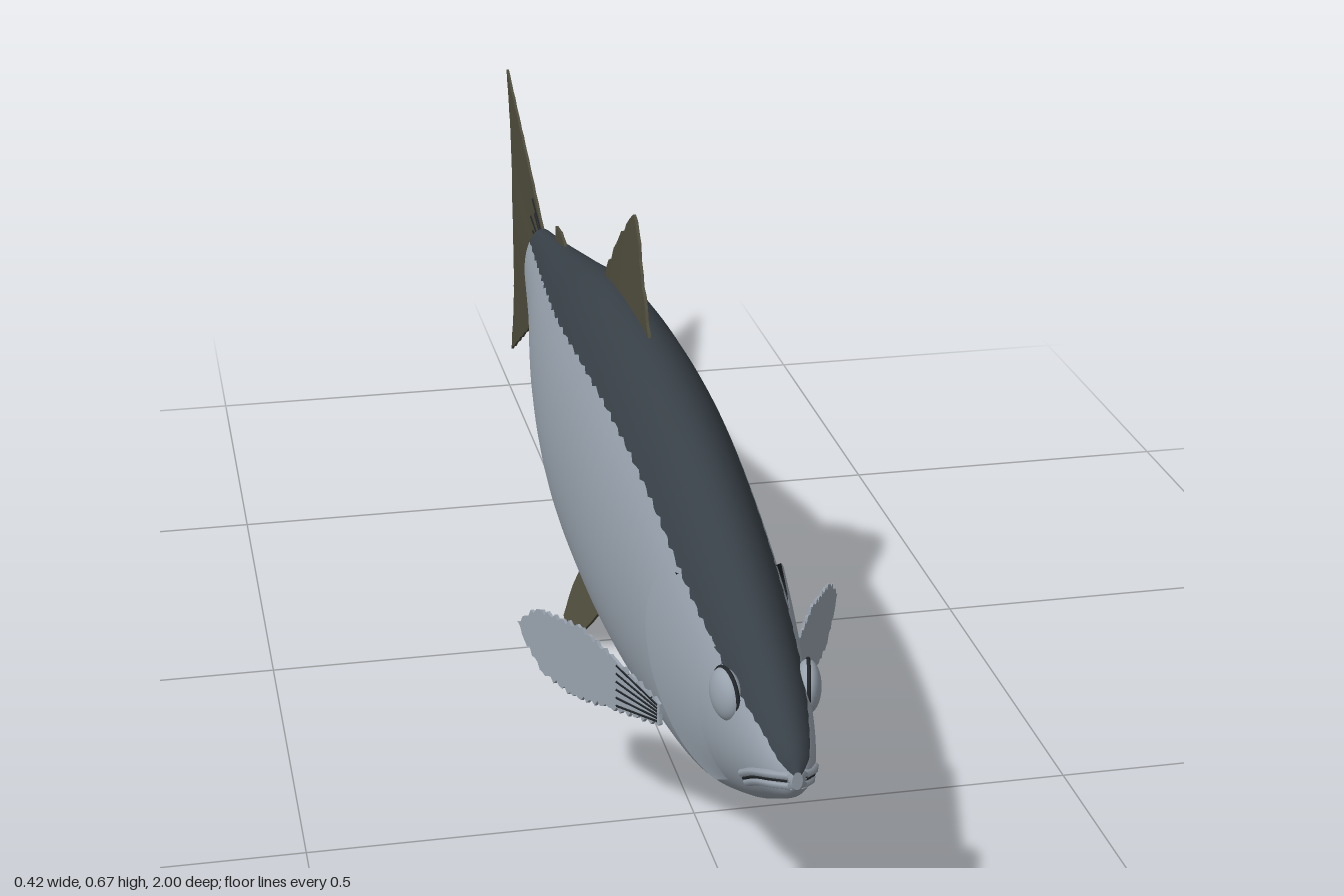
import * as THREE from 'three';

const mat = (name, color) => new THREE.MeshStandardMaterial({ name, color, side: THREE.DoubleSide });

// Body stations: z, top y, bottom y, half width, lower edge of the dark back
const STATIONS = [
  [-0.63, 0.42, 0.283, 0.03, 0.4], [-0.5, 0.445, 0.222, 0.046, 0.412], [-0.3, 0.487, 0.145, 0.076, 0.44],
  [-0.1, 0.53, 0.1, 0.096, 0.465], [0.1, 0.547, 0.09, 0.102, 0.48], [0.3, 0.545, 0.1, 0.101, 0.483],
  [0.5, 0.523, 0.125, 0.09, 0.465], [0.7, 0.475, 0.167, 0.075, 0.425], [0.86, 0.425, 0.235, 0.053, 0.39],
  [0.95, 0.385, 0.285, 0.034, 0.368], [0.985, 0.364, 0.307, 0.02, 0.352], [1, 0.346, 0.324, 0.006, 0.342],
];

// Smooth interpolation of column c in a table sorted by its first column
function interp(table, t, c) {
  const n = table.length - 1;
  let i = 0;
  while (i < n - 1 && t > table[i + 1][0]) i++;
  const slope = k => {
    const a = table[Math.max(k - 1, 0)], b = table[Math.min(k + 1, n)];
    return (b[c] - a[c]) / (b[0] - a[0]);
  };
  const [p, q] = [table[i], table[i + 1]], h = q[0] - p[0];
  const u = Math.min(Math.max((t - p[0]) / h, 0), 1), v = 1 - u;
  return (1 + 2 * u) * v * v * p[c] + u * v * v * h * slope(i)
    + u * u * (3 - 2 * u) * q[c] - u * u * v * h * slope(i + 1);
}

function section(z) {
  const top = interp(STATIONS, z, 1), bottom = interp(STATIONS, z, 2);
  return { mid: (top + bottom) / 2, h: (top - bottom) / 2, w: interp(STATIONS, z, 3), split: interp(STATIONS, z, 4) };
}

// Point on the skin; angle is measured from the top towards +x
function skin(z, angle, offset = 0) {
  const s = section(z);
  return [(s.w + offset) * Math.sin(angle), s.mid + (s.h + offset) * Math.cos(angle), z];
}

function skinAtHeight(z, y, side, offset = 0) {
  const s = section(z);
  const p = skin(z, Math.acos(THREE.MathUtils.clamp((y - s.mid) / s.h, -1, 1)), offset);
  return new THREE.Vector3(side * p[0], p[1], z);
}

// Quad grid from a point function; pick(j) chooses the material group
function grid(nu, nv, fn, pick = () => 0) {
  const pos = [], sets = [[], []];
  for (let i = 0; i <= nu; i++) for (let j = 0; j <= nv; j++) pos.push(...fn(i, j));
  for (let i = 0; i < nu; i++) for (let j = 0; j < nv; j++) {
    const a = i * (nv + 1) + j, b = a + nv + 1;
    sets[pick(j)].push(a, a + 1, b, b, a + 1, b + 1);
  }
  const g = new THREE.BufferGeometry();
  g.setAttribute('position', new THREE.Float32BufferAttribute(pos, 3));
  g.setIndex([...sets[0], ...sets[1]]);
  g.addGroup(0, sets[0].length, 0);
  g.addGroup(sets[0].length, sets[1].length, 1);
  g.computeVertexNormals();
  return g;
}

// Thin fin with a ragged edge; place maps outline (p, q) and depth d to a position
function finGeometry(outline, place, ragged = 0.004) {
  const pts = [];
  outline.forEach(([p, q], i) => {
    const [p2, q2] = outline[(i + 1) % outline.length];
    const len = Math.hypot(p2 - p, q2 - q), n = Math.max(2, Math.round(len / 0.02));
    for (let k = 0; k < n; k++) {
      const t = k / n, e = k ? ragged * Math.sin(k * 2.4 + i * 1.7) : 0;
      pts.push(new THREE.Vector2(p + (p2 - p) * t + e * (q2 - q) / len, q + (q2 - q) * t - e * (p2 - p) / len));
    }
  });
  const g = new THREE.ExtrudeGeometry(new THREE.Shape(pts), { depth: 0.004, bevelEnabled: false });
  const a = g.attributes.position;
  for (let i = 0; i < a.count; i++) a.setXYZ(i, ...place(a.getX(i), a.getY(i), a.getZ(i) - 0.002));
  g.computeVertexNormals();
  return g;
}

export function createModel() {
  const model = new THREE.Group();
  model.name = 'fish';
  const silver = mat('silver', 0x98a2ad), back = mat('darkBack', 0x384047);
  const olive = mat('oliveFin', 0x4e4c3c), black = mat('darkLine', 0x22262a);
  const add = (name, geometry, material) => {
    const m = new THREE.Mesh(geometry, material);
    m.name = name;
    model.add(m);
    return m;
  };
  const tube = (name, pts, r, material) =>
    add(name, new THREE.TubeGeometry(new THREE.CatmullRomCurve3(pts), 16, r, 6), material);

  // Body: closed rings, dark from the ridge down to the split line
  const NU = 120, ND = 16, NS = 40;
  add('body', grid(NU, ND + NS, (i, j) => {
    const z = 1 - 1.63 * Math.pow(i / NU, 1.4), s = section(z);
    const jag = i < NU ? 0.003 * Math.sin(i * 2.3) * Math.min(1, s.h / 0.15) : 0;
    const a = Math.acos(THREE.MathUtils.clamp((s.split + jag - s.mid) / s.h, -1, 1));
    return skin(z, j <= ND ? a * (2 * j / ND - 1) : a + (2 * Math.PI - 2 * a) * (j - ND) / NS);
  }, j => (j < ND ? 0 : 1)), [back, silver]);

  // Closed ends at the snout and at the tail root
  for (const [name, z, dz] of [['snout', 1, 0], ['tailRoot', -0.63, -0.01]]) {
    add(name, grid(3, 32, (i, j) => {
      const s = section(z), a = j / 32 * Math.PI * 2, f = Math.cos(i / 3 * Math.PI / 2);
      return [s.w * f * Math.sin(a), s.mid + s.h * f * Math.cos(a), z + dz * i / 3];
    }), silver);
  }

  // Head details on both sides
  const GILL = [[0.85, 0.665], [1.2, 0.615], [1.6, 0.625], [2.0, 0.69], [2.45, 0.8]];
  for (const side of [1, -1]) {
    const label = side > 0 ? 'left' : 'right';
    const mirror = p => [side * p[0], p[1], p[2]];
    const angle = j => 0.85 + 1.6 * j / 24;

    // Gill cover rising towards its rear edge, then the dark slit behind it
    add(label + 'GillCover', grid(12, 24, (i, j) => {
      const u = i / 12, rear = interp(GILL, angle(j), 1);
      return mirror(skin(THREE.MathUtils.lerp(0.84, rear, u), angle(j), -0.002 + 0.009 * u));
    }), silver);
    add(label + 'GillSlit', grid(1, 24, (i, j) =>
      mirror(skin(interp(GILL, angle(j), 1) - 0.004 * i, angle(j), 0.007 - 0.008 * i))), black);

    // Bulging eye with a thin dark rim
    const eye = new THREE.Group();
    eye.name = label + 'Eye';
    eye.position.copy(skinAtHeight(0.86, 0.373, side));
    eye.rotation.set(0, side * (Math.PI / 2 - 0.22), 0);
    const ball = new THREE.Mesh(new THREE.SphereGeometry(0.031, 28, 18), silver);
    ball.name = label + 'Eyeball';
    ball.scale.z = 0.5;
    const rim = new THREE.Mesh(new THREE.TorusGeometry(0.031, 0.0025, 6, 32), black);
    rim.name = label + 'EyeRim';
    eye.add(ball, rim);
    model.add(eye);

    // Mouth line between the upper lip and the lower lip
    const along = (dy, off) => [[0.997, 0.335], [0.975, 0.327], [0.94, 0.311], [0.905, 0.29]]
      .map(([z, y]) => skinAtHeight(z, y + dy, side, off));
    tube(label + 'UpperLip', along(0.006, -0.001), 0.0055, silver);
    tube(label + 'MouthLine', along(0, 0), 0.0025, black);
    tube(label + 'LowerLip', along(-0.007, -0.001), 0.005, silver);

    // Pectoral fin spreading out and back, with short rays at its root
    const spread = (s, y, d) => [side * (0.072 + 0.137 * s + d), y, 0.63 - 0.23 * s];
    add(label + 'PectoralFin', finGeometry([[0, 0.212], [0.35, 0.198], [0.6, 0.187], [0.82, 0.198],
      [0.95, 0.23], [1, 0.252], [0.86, 0.283], [0.55, 0.288], [0.3, 0.268], [0, 0.24]], spread), silver);
    for (let k = 0; k < 6; k++) {
      const f = k / 5;
      tube(label + 'PectoralRay', [new THREE.Vector3(...spread(0.02, 0.215 + 0.022 * f, 0)),
        new THREE.Vector3(...spread(0.3, 0.206 + 0.056 * f, 0))], 0.0026, black);
    }

    // Pelvic fin splayed outwards
    add(label + 'PelvicFin', finGeometry([[0.07, 0.115], [0.045, 0.07], [0.015, 0.022], [-0.03, 0.004],
      [-0.075, 0.012], [-0.09, 0.035], [-0.105, 0.085], [-0.11, 0.125]],
    (z, y, d) => [side * (0.072 - 0.48 * y + d), Math.max(y, 0), z], 0.002), olive);
  }

  // Single fins on the centre plane, each leaning slightly to +x
  const upright = (y0, lean) => (z, y, d) => [d + lean * Math.abs(y - y0), y, z];
  add('dorsalFin', finGeometry([[0.21, 0.53], [0.2, 0.553], [0.13, 0.612], [0.085, 0.655], [0.055, 0.669],
    [0.02, 0.645], [-0.02, 0.612], [-0.085, 0.545], [-0.08, 0.52]], upright(0.54, 0.08)), olive);
  add('adiposeFin', finGeometry([[-0.41, 0.45], [-0.43, 0.466], [-0.46, 0.471], [-0.5, 0.468],
    [-0.5, 0.45], [-0.48, 0.435]], upright(0.45, 0.05), 0.001), olive);
  add('analFin', finGeometry([[-0.29, 0.16], [-0.36, 0.113], [-0.43, 0.083], [-0.48, 0.065], [-0.495, 0.11],
    [-0.53, 0.195], [-0.52, 0.25]], upright(0.2, 0.06)), olive);
  add('tailFin', finGeometry([[-0.61, 0.41], [-0.64, 0.422], [-0.8, 0.495], [-0.995, 0.581], [-0.955, 0.5],
    [-0.932, 0.42], [-0.924, 0.335], [-0.934, 0.23], [-0.955, 0.16], [-0.995, 0.075], [-0.8, 0.185],
    [-0.64, 0.28], [-0.61, 0.295]], upright(0.35, 0.02), 0.0015), olive);

  // Dark rays fanning out from the tail root
  for (let k = 0; k < 11; k++) {
    const f = k / 5 - 1, end = -0.7 - 0.02 * (k % 3);
    tube('tailRay', [new THREE.Vector3(0.001, 0.35 + 0.06 * f, -0.632),
      new THREE.Vector3(0.001, 0.35 + 0.09 * f, end)], 0.0032, black);
  }
  return model;
}
